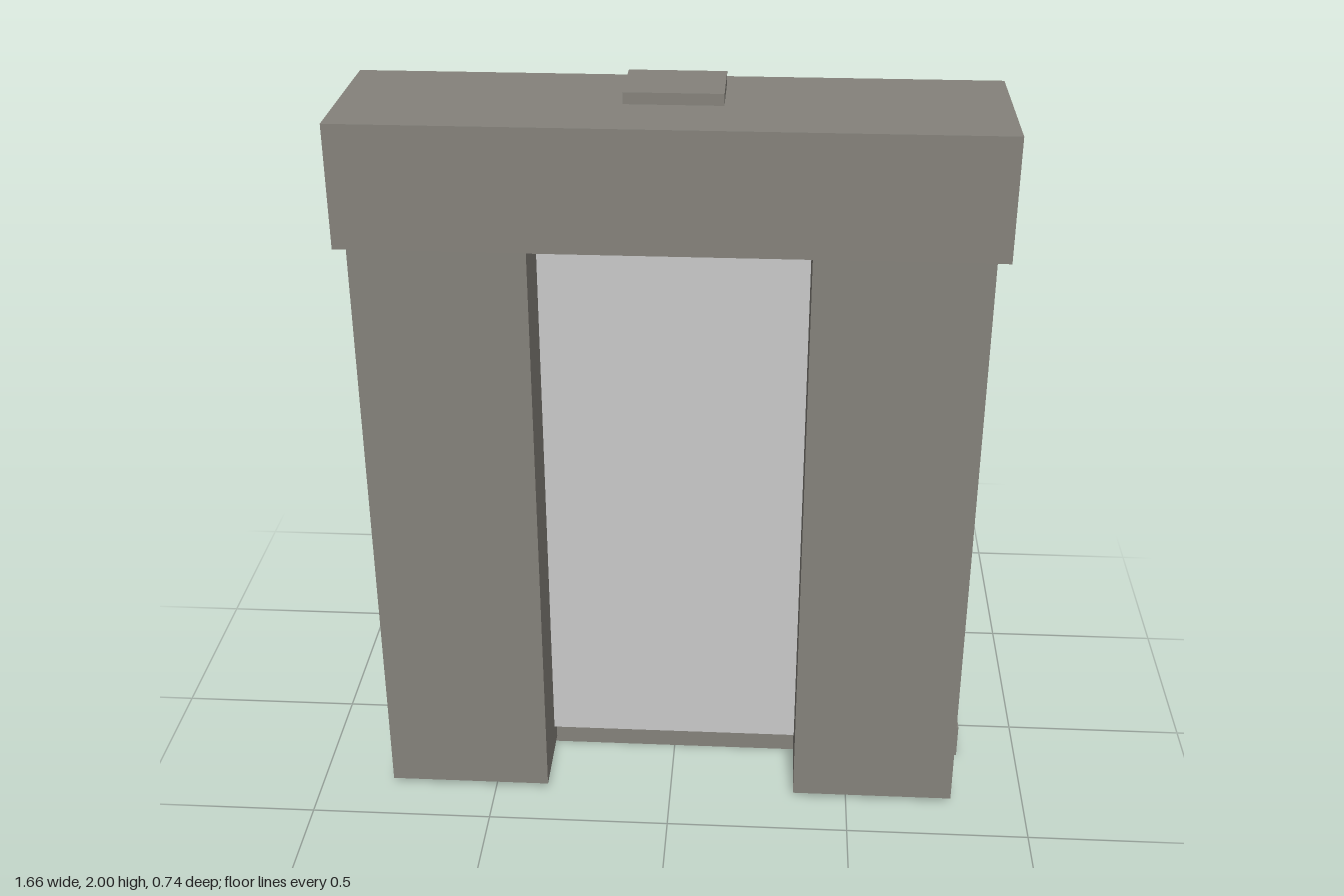
import * as THREE from 'three';

export function createModel() {
  const group = new THREE.Group();
  group.name = 'doorway';

  const material = (name, color) => {
    const m = new THREE.MeshStandardMaterial({ color });
    m.name = name;
    return m;
  };
  const stone = material('stone', 0x85827b);
  const wood = material('wood', 0x6b4e3c);
  const fittings = material('bronze fittings', 0x704f3a);
  const pale = material('pale panel', 0xc9c9c9);

  const add = (name, geometry, mat, x = 0, y = 0, z = 0) => {
    const mesh = new THREE.Mesh(geometry, mat);
    mesh.name = name;
    mesh.position.set(x, y, z);
    group.add(mesh);
    return mesh;
  };
  // Box given by its low and high corners
  const block = (name, mat, [x0, y0, z0], [x1, y1, z1]) =>
    add(name, new THREE.BoxGeometry(x1 - x0, y1 - y0, z1 - z0), mat,
      (x0 + x1) / 2, (y0 + y1) / 2, (z0 + z1) / 2);

  // Stone frame
  block('doorstep', stone, [-0.83, 0, -0.365], [0.83, 0.1, 0.145]);
  block('leftPillar', stone, [0.35, 0.02, -0.075], [0.795, 1.65, 0.37]);
  block('rightPillar', stone, [-0.795, 0.02, -0.075], [-0.35, 1.65, 0.37]);
  block('lintel', stone, [-0.83, 1.65, -0.077], [0.83, 1.97, 0.37]);
  block('topBlock', stone, [-0.125, 1.97, -0.02], [0.125, 2, 0.175]);

  // Wooden door, with a pale panel on its +z side
  const doorZ = -0.005;
  block('door', wood, [-0.35, 0.09, doorZ], [0.35, 1.62, 0.187]);
  block('palePanel', pale, [-0.35, 0.09, 0.187], [0.35, 1.62, 0.195]);

  // Straps with a stud near each end
  const strapZ = doorZ - 0.025;
  const stud = new THREE.SphereGeometry(0.025, 8, 6);
  for (const y of [0.32, 0.84, 1.36]) {
    block('strap', fittings, [-0.35, y - 0.04, strapZ], [0.35, y + 0.04, doorZ]);
    for (const side of [-1, 1]) add('stud', stud, fittings, side * 0.19, y, strapZ - 0.005);
  }

  // Ring handles on the middle strap
  const ring = new THREE.TorusGeometry(0.075, 0.014, 6, 8);
  for (const side of [-1, 1]) add('ringHandle', ring, fittings, side * 0.22, 0.84, strapZ - 0.014);

  return group;
}
